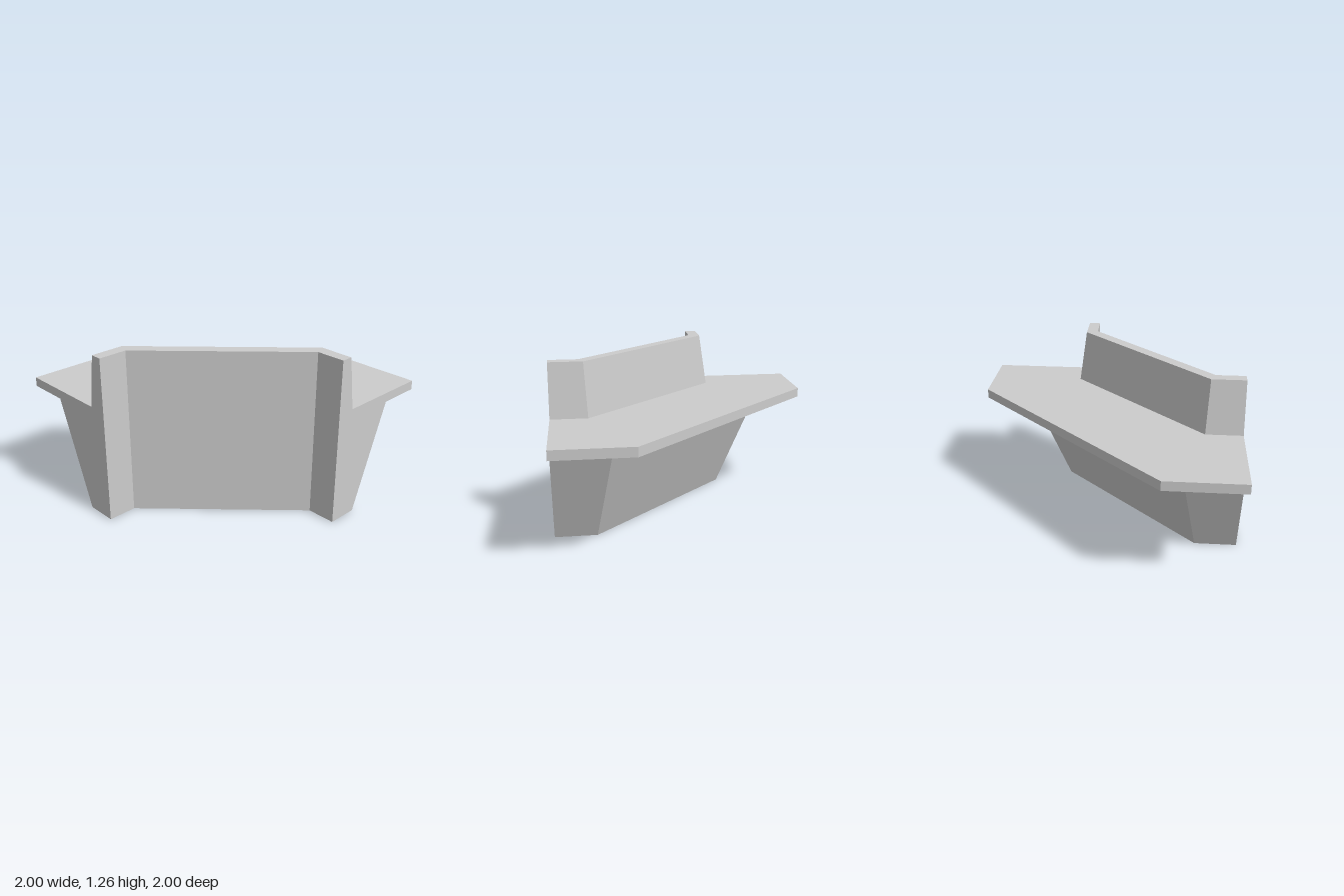
import * as THREE from 'three';

// Cross-section, counterclockwise: distance out from the inner wall's origin, height
const PROFILE = [
  [0.14, 0], [0.37, 0],         // foot
  [0.68, 0.79],                 // sloping base
  [1, 0.79], [1, 0.86],         // overhanging top slab
  [0.28, 0.86], [0.225, 1.26],  // leaning upstand
  [0.14, 1.26],                 // inner wall
];

// One profile point at each of the four stations of the 45-degree corner run
function stations([out, y]) {
  const bend = -0.843 + out * Math.tan(Math.PI / 8); // mitre line
  return [[-1, y, -out], [bend, y, -out], [out, y, -bend], [out, y, 1]];
}

// Sweep the profile along the run and close both ends
function mitredSweep(profile) {
  const rows = profile.map(stations);
  const positions = [];
  const tri = (a, b, c) => positions.push(...a, ...b, ...c);

  rows.forEach((row, i) => {
    const next = rows[(i + 1) % rows.length];
    for (let s = 0; s < 3; s++) {
      tri(row[s], next[s], next[s + 1]);
      tri(row[s], next[s + 1], row[s + 1]);
    }
  });

  // End caps
  const contour = profile.map(([x, y]) => new THREE.Vector2(x, y));
  for (const [a, b, c] of THREE.ShapeUtils.triangulateShape(contour, [])) {
    tri(rows[a][0], rows[c][0], rows[b][0]);
    tri(rows[a][3], rows[b][3], rows[c][3]);
  }

  const geometry = new THREE.BufferGeometry();
  geometry.setAttribute('position', new THREE.Float32BufferAttribute(positions, 3));
  geometry.computeVertexNormals();
  return geometry;
}

export function createModel() {
  const grey = new THREE.MeshStandardMaterial({ color: 0xcccccc, flatShading: true });
  grey.name = 'light grey';

  const counter = new THREE.Mesh(mitredSweep(PROFILE), grey);
  counter.name = 'cornerCounter';

  const group = new THREE.Group();
  group.name = 'cornerCounterUnit';
  group.add(counter);
  return group;
}
